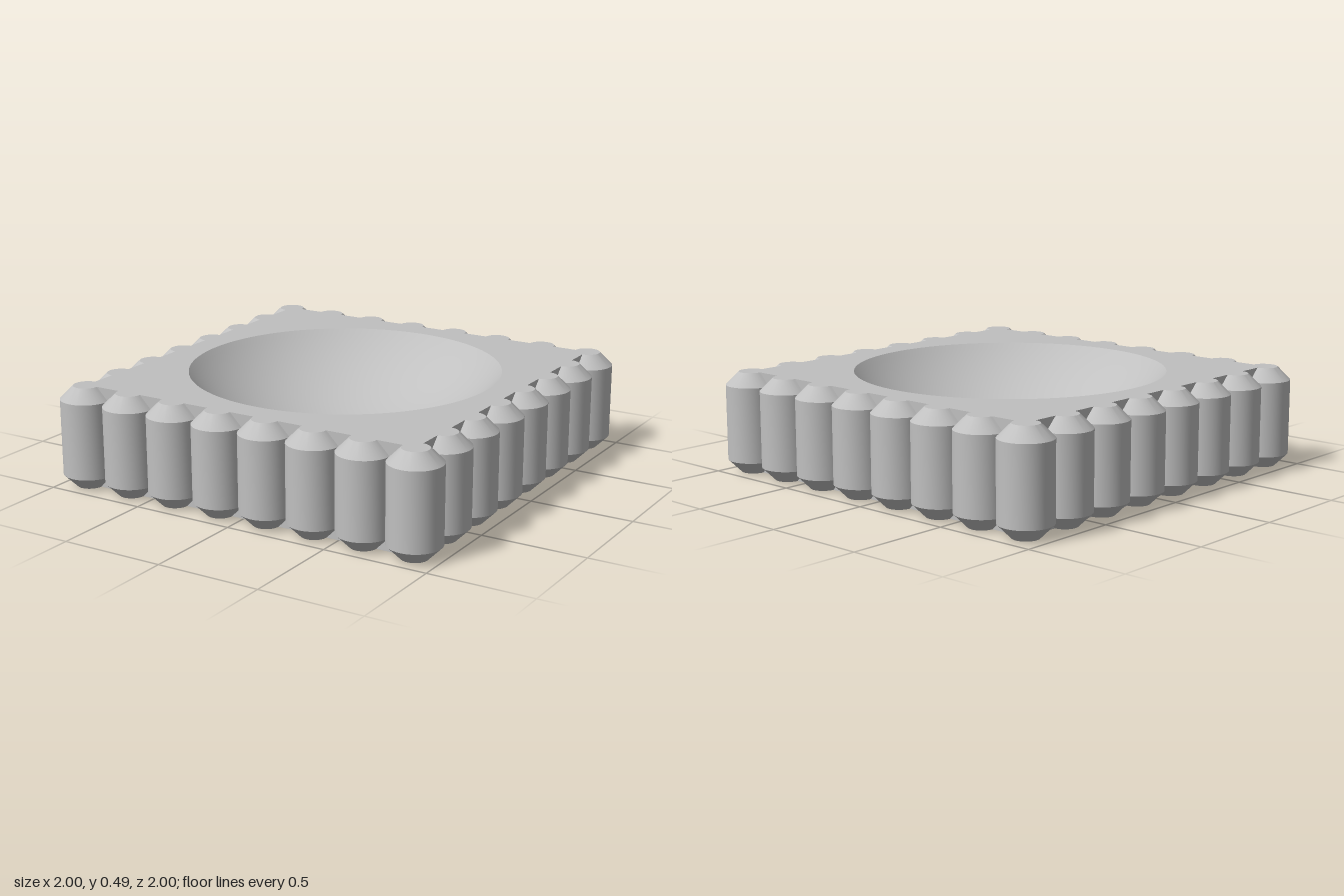
import * as THREE from 'three';
import { toCreasedNormals } from 'three/addons/utils/BufferGeometryUtils.js';

const HEIGHT = 0.49, HALF = 0.875, PITCH = 0.25, BOWL_R = 0.75, BOWL_SPHERE = 1;

// Chamfered pillar, only the arc that stands out of the body
function pillarGeometry(start, length) {
  const profile = [[0, 0], [0.0625, 0], [0.125, 0.0625], [0.125, HEIGHT - 0.0625], [0.0625, HEIGHT], [0, HEIGHT]]
    .map(([r, y]) => new THREE.Vector2(r, y));
  const lathe = new THREE.LatheGeometry(profile, Math.round(length / (Math.PI / 20)), start, length);
  return toCreasedNormals(lathe, 0.5);
}

// Underside: 7 x 7 pyramid sockets separated by narrow flat ribs
function undersideGeometry() {
  const pos = [], rib = 0.01, depth = 0.11;
  const corners = [[-1, -1], [1, -1], [1, 1], [-1, 1]];
  for (let i = 0; i < 7; i++) for (let j = 0; j < 7; j++) {
    const cx = (i - 3) * PITCH, cz = (j - 3) * PITCH;
    const ring = (h) => corners.map(([x, z]) => [cx + x * h, 0, cz + z * h]);
    const outer = ring(PITCH / 2), inner = ring(PITCH / 2 - rib);
    for (let k = 0; k < 4; k++) {
      const n = (k + 1) % 4;
      pos.push(...outer[k], ...outer[n], ...inner[n]);
      pos.push(...outer[k], ...inner[n], ...inner[k]);
      pos.push(...inner[k], ...inner[n], cx, depth, cz);
    }
  }
  const g = new THREE.BufferGeometry();
  g.setAttribute('position', new THREE.Float32BufferAttribute(pos, 3));
  g.computeVertexNormals();
  return g;
}

export function createModel() {
  const group = new THREE.Group();
  const grey = new THREE.MeshStandardMaterial({ color: 0xc0c0c0 });
  grey.name = 'light grey';
  const add = (name, geometry, parent = group) => {
    const mesh = new THREE.Mesh(geometry, grey);
    mesh.name = name;
    parent.add(mesh);
    return mesh;
  };

  // Flat top with a round opening
  const square = new THREE.Shape([[-1, -1], [1, -1], [1, 1], [-1, 1]]
    .map(([x, y]) => new THREE.Vector2(x * HALF, y * HALF)));
  square.holes.push(new THREE.Path().absarc(0, 0, BOWL_R, 0, Math.PI * 2, true));
  const top = add('topPlate', new THREE.ShapeGeometry(square, 48).rotateX(-Math.PI / 2));
  top.position.y = HEIGHT;

  // Spherical bowl, from rim to centre
  const rimAngle = Math.asin(BOWL_R / BOWL_SPHERE);
  const centreY = HEIGHT + BOWL_SPHERE * Math.cos(rimAngle);
  const arc = [];
  for (let i = 0; i <= 24; i++) {
    const a = rimAngle * (1 - i / 24);
    arc.push(new THREE.Vector2(BOWL_SPHERE * Math.sin(a), centreY - BOWL_SPHERE * Math.cos(a)));
  }
  add('bowl', new THREE.LatheGeometry(arc, 96));

  add('socketedUnderside', undersideGeometry());

  // Four sides: a wall, six edge pillars and one corner pillar each
  const edge = pillarGeometry(-Math.PI / 2, Math.PI);
  const corner = pillarGeometry(-Math.PI / 2, Math.PI * 1.5);
  const wallGeometry = new THREE.PlaneGeometry(HALF * 2, HEIGHT);
  for (let s = 0; s < 4; s++) {
    const side = new THREE.Group();
    side.name = 'side' + (s + 1);
    side.rotation.y = s * Math.PI / 2;
    add('wall', wallGeometry, side).position.set(0, HEIGHT / 2, HALF);
    for (let i = 1; i <= 7; i++) {
      const pillar = add(i < 7 ? 'edgePillar' : 'cornerPillar', i < 7 ? edge : corner, side);
      pillar.position.set(-HALF + i * PITCH, 0, HALF);
    }
    group.add(side);
  }
  return group;
}
